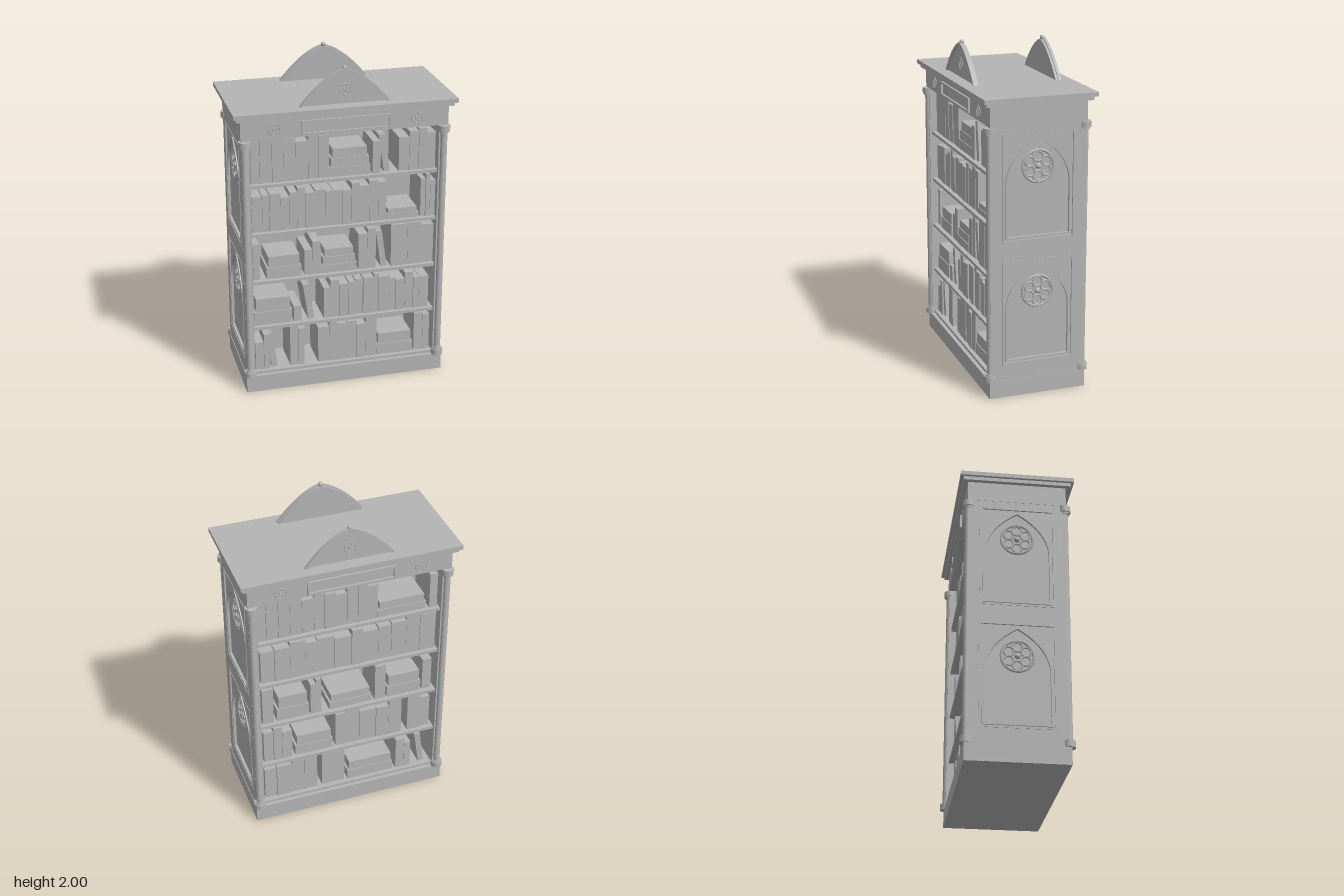
import * as THREE from 'three';

const wood = new THREE.MeshStandardMaterial({ color: 0xb4b4b4 });
wood.name = 'plain grey';

function add(parent, name, geo, x = 0, y = 0, z = 0) {
  const m = new THREE.Mesh(geo, wood);
  m.name = name;
  m.position.set(x, y, z);
  parent.add(m);
  return m;
}
// Box given by its limits
function block(parent, name, x0, x1, y0, y1, z0, z1) {
  return add(parent, name, new THREE.BoxGeometry(x1 - x0, y1 - y0, z1 - z0),
    (x0 + x1) / 2, (y0 + y1) / 2, (z0 + z1) / 2);
}
function rect(T, w, y0, y1) {
  const s = new T();
  s.moveTo(-w, y0); s.lineTo(w, y0); s.lineTo(w, y1); s.lineTo(-w, y1); s.closePath();
  return s;
}
// Pointed arch outline
function arch(T, w, y0, spring, apex) {
  const s = new T(), c = spring + (apex - spring) * 0.6;
  s.moveTo(-w, y0); s.lineTo(w, y0); s.lineTo(w, spring);
  s.quadraticCurveTo(w * 0.94, c, 0, apex);
  s.quadraticCurveTo(-w * 0.94, c, -w, spring);
  s.closePath();
  return s;
}
const slab = (shape, depth) =>
  new THREE.ExtrudeGeometry(shape, { depth, bevelEnabled: false, curveSegments: 16 });

// Tracery rosette: outer ring, ring of lobes, centre boss
function rosette(parent, x, y, z, r, lobes) {
  const g = new THREE.Group();
  g.name = 'rosette';
  g.position.set(x, y, z);
  const t = r * 0.08, d = r * 0.56;
  const lobeRadius = Math.min(r * 0.32, d * Math.sin(Math.PI / lobes));
  add(g, 'rosetteRing', new THREE.TorusGeometry(r - t, t, 6, 32));
  for (let i = 0; i < lobes; i++) {
    const a = Math.PI / 2 + i * 2 * Math.PI / lobes;
    add(g, 'rosetteLobe', new THREE.TorusGeometry(lobeRadius, t * 0.8, 6, 16), d * Math.cos(a), d * Math.sin(a));
  }
  add(g, 'rosetteBoss', new THREE.SphereGeometry(r * 0.17, 12, 8));
  parent.add(g);
}

// Side: framed wall with two recessed lancet panels
function makeSide() {
  const g = new THREE.Group();
  g.name = 'sideWall';
  block(g, 'sideCore', -0.287, 0.287, 0.1, 1.62, 0.56, 0.596);
  const frame = rect(THREE.Shape, 0.287, 0.1, 1.62);
  for (const y of [0.2, 0.94]) {
    frame.holes.push(rect(THREE.Path, 0.215, y, y + 0.625));
    const spandrel = rect(THREE.Shape, 0.215, y, y + 0.625);
    spandrel.holes.push(arch(THREE.Path, 0.188, y + 0.026, y + 0.34, y + 0.595));
    add(g, 'sidePanel', slab(spandrel, 0.01), 0, 0, 0.595);
    const rim = rect(THREE.Shape, 0.218, y - 0.003, y + 0.628);
    rim.holes.push(rect(THREE.Path, 0.206, y + 0.009, y + 0.616));
    add(g, 'panelMoulding', slab(rim, 0.018), 0, 0, 0.596);
    const archRim = arch(THREE.Shape, 0.198, y + 0.014, y + 0.34, y + 0.607);
    archRim.holes.push(arch(THREE.Path, 0.185, y + 0.028, y + 0.34, y + 0.592));
    add(g, 'archMoulding', slab(archRim, 0.016), 0, 0, 0.596);
    rosette(g, 0, y + 0.43, 0.598, 0.1, 6);
  }
  add(g, 'sideFrame', slab(frame, 0.016), 0, 0, 0.595);
  return g;
}

// Round column with matching base and capital
function makeColumn(x) {
  const g = new THREE.Group();
  g.name = 'column';
  g.position.set(x, 0, 0.283);
  const drum = (name, r, y, h) => add(g, name, new THREE.CylinderGeometry(r, r, h, 24), 0, y, 0);
  drum('columnShaft', 0.021, 0.855, 1.5);
  for (const s of [-1, 1]) {
    drum('columnBlock', 0.036, 0.855 + s * 0.734, 0.036);
    drum('columnCollar', 0.028, 0.855 + s * 0.711, 0.012);
  }
  return g;
}

function makePediment() {
  const g = new THREE.Group();
  g.name = 'pediment';
  const base = 1.775;
  const rightEdge = (w, apex) => new THREE.QuadraticBezierCurve(new THREE.Vector2(w, base),
    new THREE.Vector2(w * 0.47, base + (apex - base) * 0.85), new THREE.Vector2(0, apex)).getPoints(16);
  const outline = (w, apex) => {
    const right = rightEdge(w, apex);
    return [...right, ...right.slice(0, -1).reverse().map(p => new THREE.Vector2(-p.x, p.y))];
  };
  add(g, 'pedimentPlate', slab(new THREE.Shape(outline(0.26, 1.978)), 0.02), 0, 0, 0.236);
  // raised moulding following the two curved edges
  const rim = new THREE.Shape([...outline(0.27, 1.985), ...outline(0.25, 1.969).reverse()]);
  add(g, 'pedimentMoulding', slab(rim, 0.018), 0, 0, 0.25);
  add(g, 'finial', new THREE.SphereGeometry(0.014, 16, 12), 0, 1.986, 0.25);
  rosette(g, 0, 1.86, 0.257, 0.036, 4);
  return g;
}

// Shelf contents in hundredths, from the top down.
// upright and stacked: [start x, end x, number of books, height]; leaning: foot x
const floors = [1.33, 1.026, 0.72, 0.42, 0.122];
const frontRows = [
  { upright: [[-55, -9, 7, 25], [17, 22, 1, 20], [33, 55.5, 4, 23]], stacked: [[-9, 16, 3, 17]], leaning: 28 },
  { upright: [[-55, 26, 15, 23], [47, 56, 3, 25]], stacked: [[26, 46, 2, 6.5]] },
  { upright: [[-55, -51, 1, 23], [-24, -14, 2, 18], [9, 20, 2, 25], [29, 56, 3, 26]],
    stacked: [[-47, -26, 2, 14], [-14, 8, 3, 15]], leaning: 27 },
  { upright: [[-31, -26, 1, 10], [-12.5, 53.5, 13, 23]], stacked: [[-55, -32, 2, 17]], leaning: -18 },
  { upright: [[-55, -46, 2, 21], [-33.5, -24.5, 2, 26], [-16, 21, 6, 24], [45, 55, 2, 23]],
    stacked: [[21, 44, 2, 14]], leaning: -41 }
];
const backRows = [
  { upright: [[-55, 18, 11, 24], [50, 55, 1, 23]], stacked: [[18, 48, 2, 10]] },
  { upright: [[-54, 55, 12, 24]], stacked: [] },
  { upright: [[-54, -47, 1, 25], [-24, -17, 2, 22], [17, 24, 1, 25], [48, 54, 1, 22]],
    stacked: [[-45, -25, 2, 17], [-12, 15, 2, 10], [25, 47, 2, 15]] },
  { upright: [[-54, -36, 3, 23], [-8, 35, 5, 25], [39, 54, 2, 24]], stacked: [[-34, -10, 2, 14]] },
  { upright: [[-54, -20, 4, 25], [-17, -2, 2, 25], [32, 42, 2, 22]], stacked: [[0, 30, 2, 13]], leaning: 52 }
];
function fillShelves(parent, rows) {
  let seed = 7;
  const vary = range => {
    seed = (seed * 16807) % 2147483647;
    return (seed / 2147483647 - 0.5) * range;
  };
  rows.forEach(({ upright, stacked, leaning }, r) => {
    const y = floors[r];
    for (const [x0, x1, n, h] of upright) {
      const step = (x1 - x0) / n / 100;
      let x = x0 / 100;
      for (let i = 1; i <= n; i++) {
        const end = i === n ? x1 / 100 : x0 / 100 + step * (i + vary(0.4));
        const height = Math.min(h / 100 + (n > 1 ? vary(0.06) : 0), 0.27);
        block(parent, 'book', x + 0.0008, end - 0.0008, y, y + height, 0.03, 0.245 + vary(0.01));
        x = end;
      }
    }
    for (const [x0, x1, n, h] of stacked) {
      const step = h / n / 100;
      for (let i = 0; i < n; i++)
        block(parent, 'stackedBook', x0 / 100 + i * 0.012, x1 / 100 - i * 0.01, y + i * step, y + (i + 1) * step,
          0.04, 0.245 - i * 0.005);
    }
    if (leaning !== undefined)
      block(parent, 'leaningBook', leaning / 100 - 0.055, leaning / 100 - 0.018, y + 0.003, y + 0.235, 0.04, 0.24)
        .rotation.z = 0.14;
  });
}

// One open face: columns, frieze ornament, pediment and books
function makeFace(rows) {
  const g = new THREE.Group();
  g.name = 'openFace';
  for (const s of [-1, 1]) {
    g.add(makeColumn(s * 0.59));
    rosette(g, s * 0.42, 1.667, 0.292, 0.036, 4);
  }
  const frame = rect(THREE.Shape, 0.265, 1.622, 1.708);
  frame.holes.push(rect(THREE.Path, 0.252, 1.634, 1.696));
  add(g, 'friezeFrame', slab(frame, 0.014), 0, 0, 0.288);
  g.add(makePediment());
  fillShelves(g, rows);
  return g;
}

export function createModel() {
  const model = new THREE.Group();
  model.name = 'bookcase';
  // plinth, frieze and stepped cornice
  block(model, 'plinth', -0.615, 0.615, 0, 0.105, -0.295, 0.295);
  block(model, 'frieze', -0.613, 0.613, 1.61, 1.732, -0.29, 0.29);
  block(model, 'lowerCornice', -0.64, 0.64, 1.73, 1.752, -0.317, 0.317);
  block(model, 'upperCornice', -0.657, 0.657, 1.752, 1.777, -0.335, 0.335);
  // shelves on both sides of a central panel
  block(model, 'centrePanel', -0.56, 0.56, 0.1, 1.615, -0.01, 0.01);
  for (const y of floors) block(model, 'shelf', -0.562, 0.562, y - 0.019, y, -0.272, 0.272);
  for (const s of [1, -1]) {
    const side = makeSide();
    side.rotation.y = s * Math.PI / 2;
    model.add(side);
  }
  const front = makeFace(frontRows), back = makeFace(backRows);
  back.rotation.y = Math.PI;
  model.add(front, back);
  return model;
}
